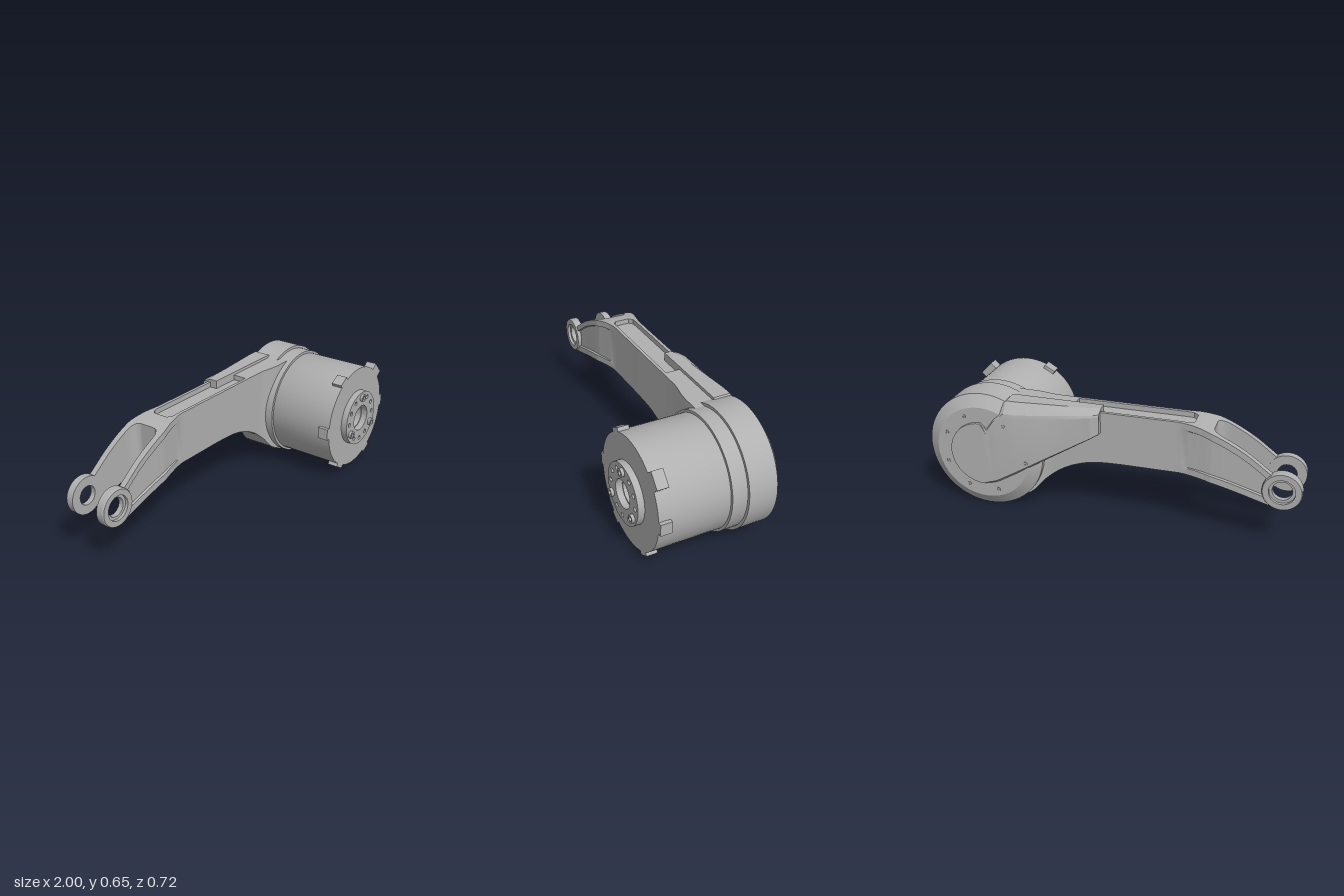
import * as THREE from 'three';
import { toCreasedNormals } from 'three/addons/utils/BufferGeometryUtils.js';

const AX = 0.675, AY = 0.325;          // motor axis
const BX = -0.9, BY = 0.33;            // fork pivot
const ZC = -0.197;                     // arm mid-plane

// Linear lookup through a list of [x, value] points
function lookup(pts, x) {
  if (x <= pts[0][0]) return pts[0][1];
  for (let i = 1; i < pts.length; i++) {
    const [x0, a] = pts[i - 1], [x1, b] = pts[i];
    if (x <= x1) return a + (b - a) * (x - x0) / (x1 - x0);
  }
  return pts[pts.length - 1][1];
}
const smooth = (pts) =>
  new THREE.SplineCurve(pts.map((p) => new THREE.Vector2(...p))).getPoints(90).map((p) => [p.x, p.y]);
const range = (a, b, n) => Array.from({ length: n + 1 }, (_, i) => a + (b - a) * i / n);

// Skin counter-clockwise [z, y] sections placed along x, with end caps
function loft(xs, section, crease = 0.5) {
  const rings = xs.map(section), n = rings[0].length, pos = [];
  const put = (i, j) => pos.push(xs[i], rings[i][j % n][1], rings[i][j % n][0]);
  for (let i = 0; i < xs.length - 1; i++) {
    for (let j = 0; j < n; j++) {
      put(i, j); put(i + 1, j); put(i, j + 1);
      put(i + 1, j); put(i + 1, j + 1); put(i, j + 1);
    }
  }
  for (const i of [0, xs.length - 1]) {
    const tris = THREE.ShapeUtils.triangulateShape(rings[i].map((p) => new THREE.Vector2(...p)), []);
    for (const t of tris) (i === 0 ? t : t.slice().reverse()).forEach((j) => put(i, j));
  }
  const g = new THREE.BufferGeometry();
  g.setAttribute('position', new THREE.Float32BufferAttribute(pos, 3));
  return toCreasedNormals(g, crease);
}

// Turned part along z from [radius, z] points, back to front
function turned(points, segments = 64) {
  const g = new THREE.LatheGeometry(points.map((p) => new THREE.Vector2(...p)), segments);
  g.rotateX(Math.PI / 2);
  return toCreasedNormals(g, 0.5);
}

// Arm outline and widths
const topLine = smooth([[-0.9, 0.37], [-0.83, 0.42], [-0.72, 0.5], [-0.6, 0.565], [-0.5, 0.6],
  [-0.4, 0.613], [-0.2, 0.613], [0.2, 0.612], [0.65, 0.612]]);
const bottomLine = smooth([[-0.9, 0.23], [-0.82, 0.25], [-0.6, 0.31], [-0.45, 0.332], [-0.25, 0.333],
  [0, 0.33], [0.13, 0.312], [0.25, 0.262], [0.35, 0.185], [0.45, 0.088], [0.65, 0.05]]);
const halfWidth = smooth([[-1, 0.115], [-0.75, 0.115], [-0.56, 0.114], [-0.5, 0.103], [-0.4, 0.082],
  [-0.34, 0.078], [0, 0.078], [0.3, 0.078], [0.36, 0.083], [0.45, 0.097], [0.65, 0.097]]);
const recess = [[-0.84, 0.012], [-0.55, 0.012], [-0.38, 0]];
const RIM = 0.036;

export function createModel() {
  const model = new THREE.Group();
  const grey = new THREE.MeshStandardMaterial({ color: 0xb0b0b0 });
  grey.name = 'grey metal';
  const add = (name, geometry, x = 0, y = 0, z = 0) => {
    const m = new THREE.Mesh(geometry, grey);
    m.name = name;
    m.position.set(x, y, z);
    model.add(m);
    return m;
  };

  // Arm beam with channels along its top and underside
  const e = 0.0004;
  const armXs = [...range(-0.54, 0.6, 48), -0.44, -0.44 + e, -0.415, 0.2, 0.2 + e,
    -0.43, -0.43 + e, 0.3, 0.3 + e].sort((a, b) => a - b);
  add('arm', loft(armXs, (i_x) => {
    const x = i_x, t = lookup(topLine, x), b = lookup(bottomLine, x);
    const w = lookup(halfWidth, x), r = lookup(recess, x);
    const c = lookup([[-0.44, 0.042], [-0.415, 0.06]], x);
    const dt = x > -0.44 + e / 2 && x < 0.2 + e / 2 ? 0.028 : 0;
    const db = x > -0.43 + e / 2 && x < 0.3 + e / 2 ? 0.045 : 0;
    const side = [[c, b + db], [c, b], [w, b], [w, b + RIM], [w - r, b + RIM + 0.004],
      [w - r, t - RIM - 0.004], [w, t - RIM], [w, t], [c, t], [c, t - dt]];
    const other = side.map(([z, y]) => [-z, y]).reverse();
    return [...side, ...other].map(([z, y]) => [ZC + z, y]);
  }));

  // Fork tines, filleted where they meet the arm
  const slot = [[-0.6, 0.083], [-0.575, 0.08], [-0.555, 0.07], [-0.545, 0.06], [-0.54, 0.045]];
  for (const s of [1, -1]) {
    add(s > 0 ? 'frontTine' : 'rearTine', loft([...range(-0.845, -0.6, 14), -0.575, -0.555, -0.545, -0.54], (x) => {
      const t = lookup(topLine, x), b = lookup(bottomLine, x);
      const w = lookup(halfWidth, x), r = lookup(recess, x), zi = lookup(slot, x);
      const pts = [[zi, b], [w, b], [w, b + RIM], [w - r, b + RIM + 0.004],
        [w - r, t - RIM - 0.004], [w, t - RIM], [w, t], [zi, t]];
      const placed = pts.map(([z, y]) => [ZC + s * z, y]);
      return s > 0 ? placed : placed.reverse();
    }));

    // Pivot eye with a counterbore on its outer face
    const eye = add(s > 0 ? 'frontEye' : 'rearEye', turned([[0.05, 0.08], [0.1, 0.08], [0.1, 0.118],
      [0.096, 0.124], [0.066, 0.124], [0.066, 0.108], [0.05, 0.108], [0.05, 0.08]], 48), BX, BY, ZC);
    if (s < 0) eye.rotation.y = Math.PI;
  }

  // Rear housing with chamfered back
  add('housing', turned([[0, -0.347], [0.26, -0.347], [0.323, -0.305], [0.323, -0.15],
    [0.308, -0.15], [0.308, -0.068], [0.28, -0.068]]), AX, AY);

  // Motor can with a central bore
  add('motor', turned([[0.29, -0.075], [0.295, -0.065], [0.295, 0.31], [0.068, 0.31],
    [0.068, 0.25], [0, 0.25]]), AX, AY);

  // Lugs around the motor's front edge
  for (let k = 0; k < 6; k++) {
    if (k === 1) continue;
    const a = k * Math.PI / 3;
    const lug = add('motorLug', new THREE.BoxGeometry(0.04, 0.065, 0.06),
      AX + 0.293 * Math.cos(a), AY + 0.293 * Math.sin(a), 0.28);
    lug.rotation.z = a;
  }
  const ca = 0.76;
  const connector = add('connector', new THREE.BoxGeometry(0.06, 0.09, 0.06),
    AX + 0.303 * Math.cos(ca), AY + 0.303 * Math.sin(ca), 0.28);
  connector.rotation.z = ca;

  // Output flange with bore and bolt circle
  const flange = new THREE.Shape().absarc(0, 0, 0.16, 0, Math.PI * 2);
  flange.holes.push(new THREE.Path().absarc(0, 0, 0.075, 0, Math.PI * 2, true));
  for (let k = 0; k < 12; k++) {
    const a = Math.PI / 2 + k * Math.PI / 6;
    const x = 0.128 * Math.cos(a), y = 0.128 * Math.sin(a);
    if (k % 4 === 0) {
      add('flangeBolt', turned([[0.022, 0], [0.022, 0.017], [0.012, 0.017], [0.012, 0.006], [0, 0.006]], 18),
        AX + x, AY + y, 0.344);
    } else {
      flange.holes.push(new THREE.Path().absarc(x, y, 0.012, 0, Math.PI * 2, true));
    }
  }
  add('flange', toCreasedNormals(new THREE.ExtrudeGeometry(flange,
    { depth: 0.036, bevelEnabled: false, curveSegments: 32 }), 0.5), AX, AY, 0.309);

  // Rear cover: tapered tip over the arm, round end over the housing
  const R = 0.178;
  const round = (x) => Math.sqrt(Math.max(0, R * R - (x - AX) ** 2));
  const coverTop = [[0.04, 0.63], [0.54, 0.628], [0.6, 0.575], [0.64, 0.52], [AX, AY + R]];
  const coverBottom = [[0.04, 0.5], [0.58, AY - round(0.58)]];
  const coverBack = [[0.04, -0.305], [0.08, -0.322], [0.48, -0.36]];
  const arc = range(0, Math.PI / 2, 12).slice(0, -1).map((a) => AX + R * Math.sin(a));
  add('rearCover', loft([0.04, 0.08, 0.2, 0.34, 0.48, 0.54, 0.58, 0.6, 0.62, 0.64, ...arc, AX + R - 0.0005], (x) => {
    const t = x < AX ? lookup(coverTop, x) : AY + round(x);
    const b = x < 0.58 ? lookup(coverBottom, x) : AY - round(x);
    const zb = lookup(coverBack, x), k = x < AX ? Math.min(1, (t - b) / 0.36) : 0.04;
    return [[-0.215, b], [-0.215, t], [zb + 0.05, t], [zb + 0.005, t - 0.055 * k],
      [zb, t - 0.08 * k], [zb, b + 0.012 * k], [zb + 0.012, b]];
  }, 0.3));

  // Small screws on the cover and around the housing back
  const screw = (x, y, z) => {
    const m = add('rearScrew', turned([[0.011, 0], [0.011, 0.005], [0.005, 0.005], [0.005, 0.001], [0, 0.001]], 14), x, y, z);
    m.rotation.y = Math.PI;
  };
  screw(0.54, 0.5, -0.358);
  screw(0.43, 0.3, -0.353);
  for (const d of [65, 25, -20, -65, -110]) {
    const a = d * Math.PI / 180;
    screw(AX + 0.222 * Math.cos(a), AY + 0.222 * Math.sin(a), -0.346);
  }
  return model;
}
